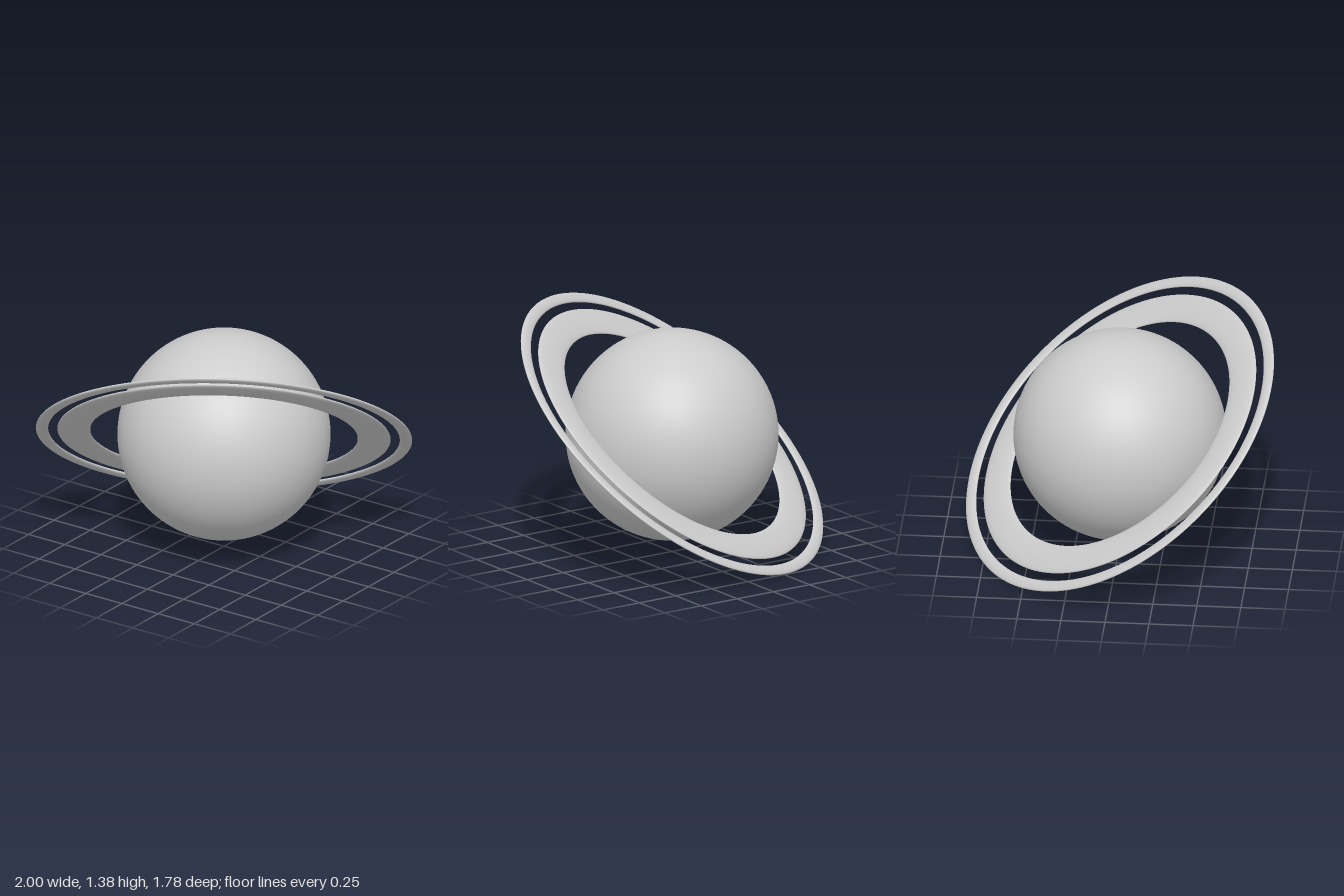
import * as THREE from 'three';

export function createModel() {
  const model = new THREE.Group();
  model.name = 'ringedPlanet';
  const grey = new THREE.MeshStandardMaterial({ color: 0xcccccc });
  grey.name = 'grey';

  const add = (name, geometry, parent) => {
    const mesh = new THREE.Mesh(geometry, grey);
    mesh.name = name;
    parent.add(mesh);
  };

  // Planet globe
  const globe = new THREE.SphereGeometry(0.603, 96, 64);
  globe.translate(0, 0.692, 0);
  add('planet', globe, model);

  // Tilted pair of rings, each a flattened torus
  const rings = new THREE.Group();
  rings.name = 'rings';
  rings.position.y = 0.692;
  const normal = new THREE.Vector3(-0.344, 0.762, -0.549).normalize();
  rings.quaternion.setFromUnitVectors(new THREE.Vector3(0, 0, 1), normal);
  model.add(rings);

  const addRing = (name, inner, outer, halfThickness) => {
    const tube = (outer - inner) / 2;
    const geometry = new THREE.TorusGeometry((inner + outer) / 2, tube, 32, 160);
    geometry.scale(1, 1, halfThickness / tube);
    add(name, geometry, rings);
  };
  addRing('innerRing', 0.757, 0.943, 0.016);
  addRing('outerRing', 0.995, 1.065, 0.012);

  return model;
}
